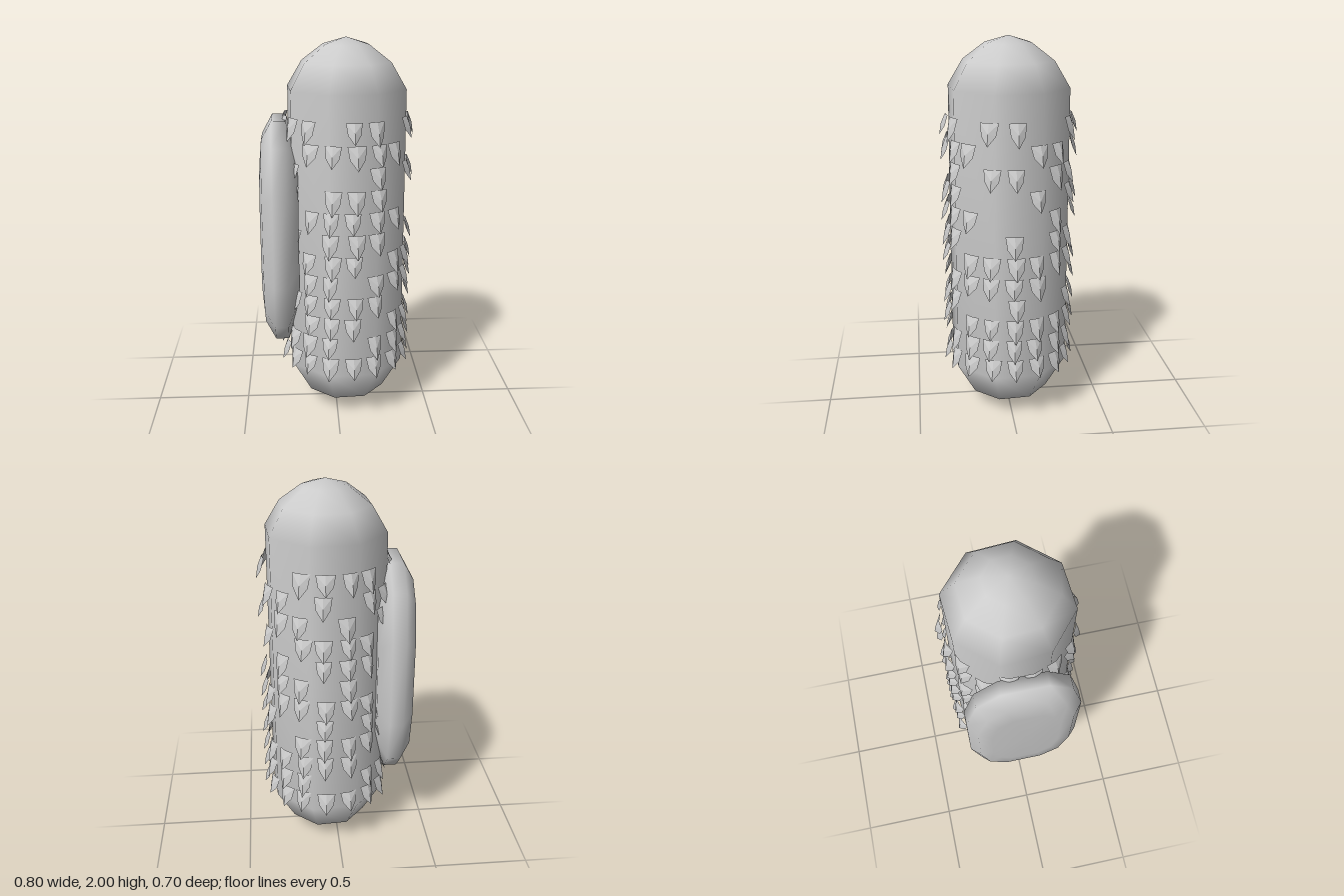
import * as THREE from 'three';
import { mergeVertices } from 'three/addons/utils/BufferGeometryUtils.js';

const CENTRE_X = 0.05;
const v2 = (list) => list.map(([r, y]) => new THREE.Vector2(r, y));
const material = () => new THREE.MeshStandardMaterial({ color: 0xcccccc, side: THREE.DoubleSide });

// Small seeded generator for the irregularity of the scales
function seeded(seed) {
  return () => {
    seed = (seed * 16807) % 2147483647;
    return seed / 2147483647;
  };
}

// Joins the seam of a lathe and smooths it
function smooth(geometry) {
  geometry.deleteAttribute('normal');
  geometry.deleteAttribute('uv');
  const merged = mergeVertices(geometry, 1e-4);
  merged.computeVertexNormals();
  return merged;
}

// Eight-sided capsule
function createBody() {
  const profile = v2([[0, 0], [0.215, 0.09], [0.318, 0.27], [0.316, 1.0],
    [0.314, 1.75], [0.235, 1.88], [0.12, 1.965], [0, 2]]);
  const mesh = new THREE.Mesh(
    smooth(new THREE.LatheGeometry(profile, 8, THREE.MathUtils.degToRad(26.5))), material());
  mesh.name = 'body';
  mesh.position.x = CENTRE_X;
  return mesh;
}

// Rounded slab on the model's right side
function createPack() {
  const profile = v2([[0, 0.2], [0.7, 0.2], [0.99, 0.26], [0.99, 0.33], [0.83, 0.383], [0.6, 0.396], [0, 0.396]]);
  const geometry = new THREE.LatheGeometry(profile, 12, Math.PI / 12);
  geometry.rotateZ(Math.PI / 2);
  const p = geometry.attributes.position;
  const c = Math.cos(Math.PI / 12);
  // Turn each round section into a tall, rounded rectangle
  for (let i = 0; i < p.count; i++) {
    const y = p.getY(i), z = p.getZ(i), r = Math.hypot(y, z) || 1;
    const square = (t) => Math.sign(t) * Math.abs(t / r / c) ** 0.7 * r;
    p.setXYZ(i, p.getX(i), 1.005 + square(y) * 0.6, square(z) * 0.293);
  }
  const mesh = new THREE.Mesh(smooth(geometry), material());
  mesh.name = 'backPack';
  return mesh;
}

// Shield-shaped scale: flat top, pointed tip, slight ridge, hanging from its top edge
function createScaleGeometry() {
  const geometry = new THREE.BufferGeometry();
  geometry.setAttribute('position', new THREE.Float32BufferAttribute([
    0, -0.45, 0.025,
    -0.5, 0, -0.006, -0.4, -0.55, 0.01, 0, -1, 0.034,
    0.4, -0.55, 0.01, 0.5, 0, -0.006, 0, 0.02, 0.004], 3));
  geometry.setIndex([0, 1, 2, 0, 2, 3, 0, 3, 4, 0, 4, 5, 0, 5, 6, 0, 6, 1]);
  const flat = geometry.toNonIndexed();
  flat.computeVertexNormals();
  return flat;
}

// One string per column around the body; each mark is a row from top to bottom
const COLUMNS = [
  '#.#..#######', '#.#...##.###', '.#..#.##.###', '######.##.##',
  '##.####.##.#', '.#.#########', '##..#.######', '#.##.##.#.##',
  '##.#.#.##.##', '#.##.##.#.#.', '.##.##.##.##', '##.##.###.##',
  '#.#####.##.#', '##.##.####.#', '#.##.##.####', '.##.###..###', '.#.#..##.###',
];

function createScales() {
  const group = new THREE.Group();
  group.name = 'scales';
  const random = seeded(71);
  const geometry = createScaleGeometry(), shared = material();
  COLUMNS.forEach((marks, column) => {
    const angle = (column / COLUMNS.length) * Math.PI * 2;
    [...marks].forEach((mark, row) => {
      const turn = (random() - 0.5) * 0.07, width = 0.08 + random() * 0.018;
      const height = 0.1 + random() * 0.025;
      if (mark !== '#') return;
      const scale = new THREE.Mesh(geometry, shared);
      scale.name = 'scale';
      const a = angle + turn;
      scale.position.set(CENTRE_X + Math.cos(a) * 0.318, 1.62 - row * 0.113, Math.sin(a) * 0.318);
      scale.rotation.y = Math.PI / 2 - a;
      scale.scale.set(width, height, 1);
      group.add(scale);
    });
  });
  return group;
}

export function createModel() {
  const model = new THREE.Group();
  model.name = 'scalyCapsuleFigure';
  model.add(createBody(), createPack(), createScales());
  return model;
}
